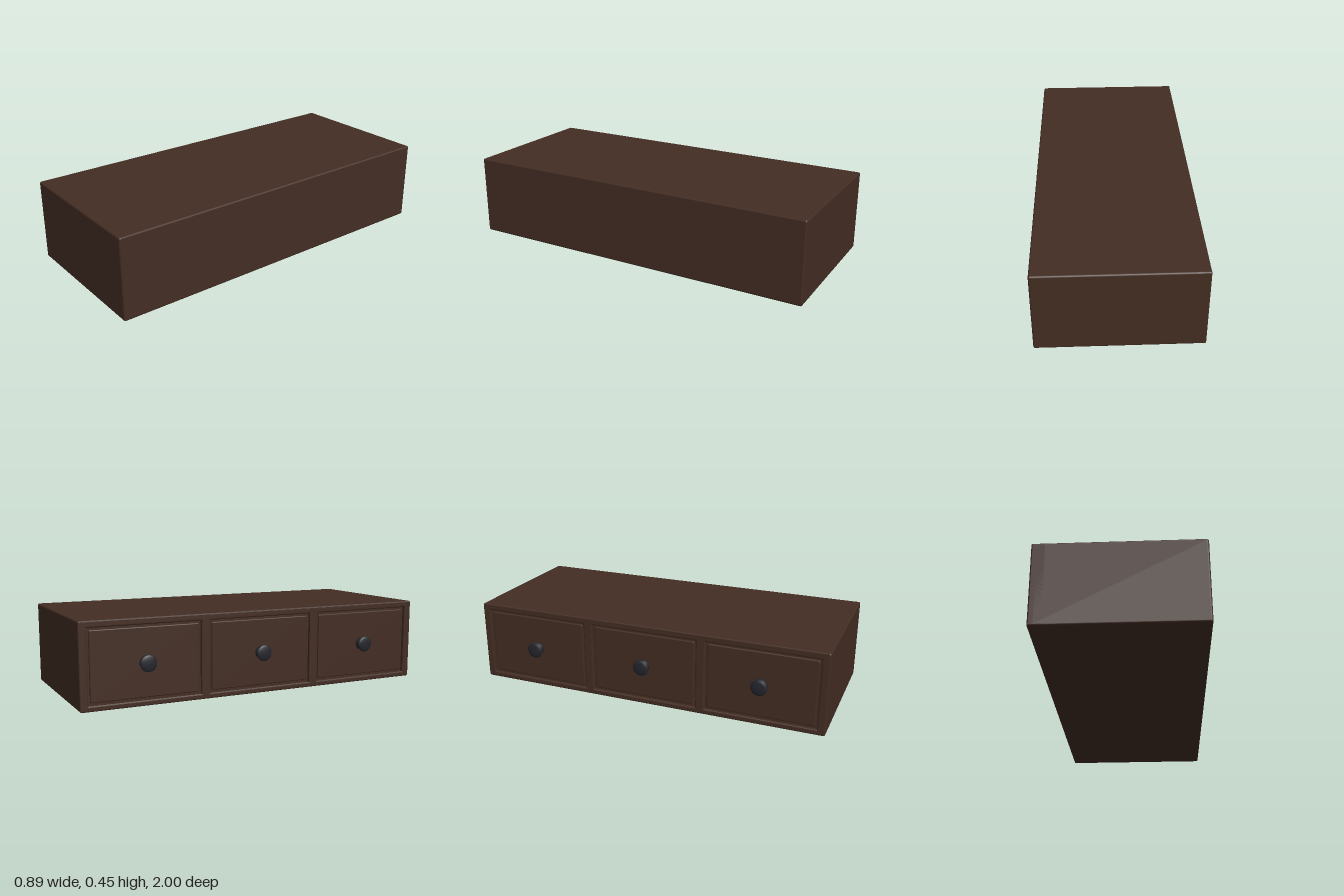
import * as THREE from 'three';
import { RoundedBoxGeometry } from 'three/addons/geometries/RoundedBoxGeometry.js';

const H = 0.45, L = 2, FRONT = -0.405, BACK = 0.443, R = 0.01;
const RECESS = 0.018;                       // depth of the drawer openings
const OPEN_W = 0.605, OPEN_H = 0.385, MID_Y = 0.222;

const wood = new THREE.MeshStandardMaterial({ color: 0x432d23 });
wood.name = 'dark wood';
const metal = new THREE.MeshStandardMaterial({ color: 0x24262d });
metal.name = 'dark metal';

function add(parent, name, geometry, material, x, y, z) {
  const mesh = new THREE.Mesh(geometry, material);
  mesh.name = name;
  mesh.position.set(x, y, z);
  parent.add(mesh);
  return mesh;
}

// Rectangle outline with rounded corners, centred on (cx, cy)
function roundedRect(path, cx, cy, w, h, r) {
  const x = w / 2 - r, y = h / 2 - r;
  path.absarc(cx + x, cy + y, r, 0, Math.PI / 2);
  path.absarc(cx - x, cy + y, r, Math.PI / 2, Math.PI);
  path.absarc(cx - x, cy - y, r, Math.PI, Math.PI * 1.5);
  path.absarc(cx + x, cy - y, r, Math.PI * 1.5, Math.PI * 2);
  path.closePath();
  return path;
}

export function createModel() {
  const model = new THREE.Group();
  model.name = 'drawerUnit';
  const drawerZ = [-0.655, 0, 0.655];

  // Solid case; its front face is the floor of the recesses
  const bodyFront = FRONT + RECESS;
  add(model, 'case', new RoundedBoxGeometry(BACK - bodyFront, H, L, 3, R),
    wood, (BACK + bodyFront) / 2, H / 2, 0);

  // Face frame with three openings, edges softened
  const outline = roundedRect(new THREE.Shape(), 0, H / 2, L, H, R);
  for (const z of drawerZ) {
    const hole = new THREE.Path();
    const w = OPEN_W / 2, h = OPEN_H / 2;
    hole.moveTo(z - w, MID_Y - h).lineTo(z - w, MID_Y + h)
      .lineTo(z + w, MID_Y + h).lineTo(z + w, MID_Y - h).closePath();
    outline.holes.push(hole);
  }
  const bevel = 0.007, depth = 0.06;
  const frame = add(model, 'faceFrame', new THREE.ExtrudeGeometry(outline, {
    depth, bevelEnabled: true, bevelSize: bevel, bevelThickness: bevel,
    bevelOffset: -bevel, bevelSegments: 3, curveSegments: 4,
  }), wood, FRONT + depth + bevel, 0, 0);
  frame.rotation.y = -Math.PI / 2;

  // Drawer fronts, set back inside the frame with a narrow gap
  const panelGeo = new RoundedBoxGeometry(0.03, OPEN_H - 0.024, OPEN_W - 0.024, 3, 0.006);

  // Knob profile: base, neck, domed disc (radius, distance from the drawer)
  const profile = [
    [0.036, 0], [0.034, 0.008], [0.031, 0.014], [0.031, 0.02], [0.034, 0.023],
    [0.041, 0.025], [0.044, 0.029], [0.044, 0.033], [0.040, 0.038],
    [0.030, 0.041], [0.016, 0.043], [0, 0.0435],
  ].map(([r, y]) => new THREE.Vector2(r, y));
  const knobGeo = new THREE.LatheGeometry(profile, 32);

  for (const z of drawerZ) {
    const drawer = new THREE.Group();
    drawer.name = 'drawer';
    drawer.position.set(0, MID_Y, z);
    add(drawer, 'drawerFront', panelGeo, wood, FRONT + 0.008 + 0.015, 0, 0);
    const knob = add(drawer, 'knob', knobGeo, metal, FRONT + 0.0035, 0, 0);
    knob.rotation.z = Math.PI / 2;
    knob.scale.set(1, 1, 1);
    // Short stem filling the joint between knob and drawer front
    const stem = add(drawer, 'knobStem', new THREE.CylinderGeometry(0.036, 0.036, 0.012, 32),
      metal, FRONT + 0.008, 0, 0);
    stem.rotation.z = Math.PI / 2;
    model.add(drawer);
  }
  return model;
}
